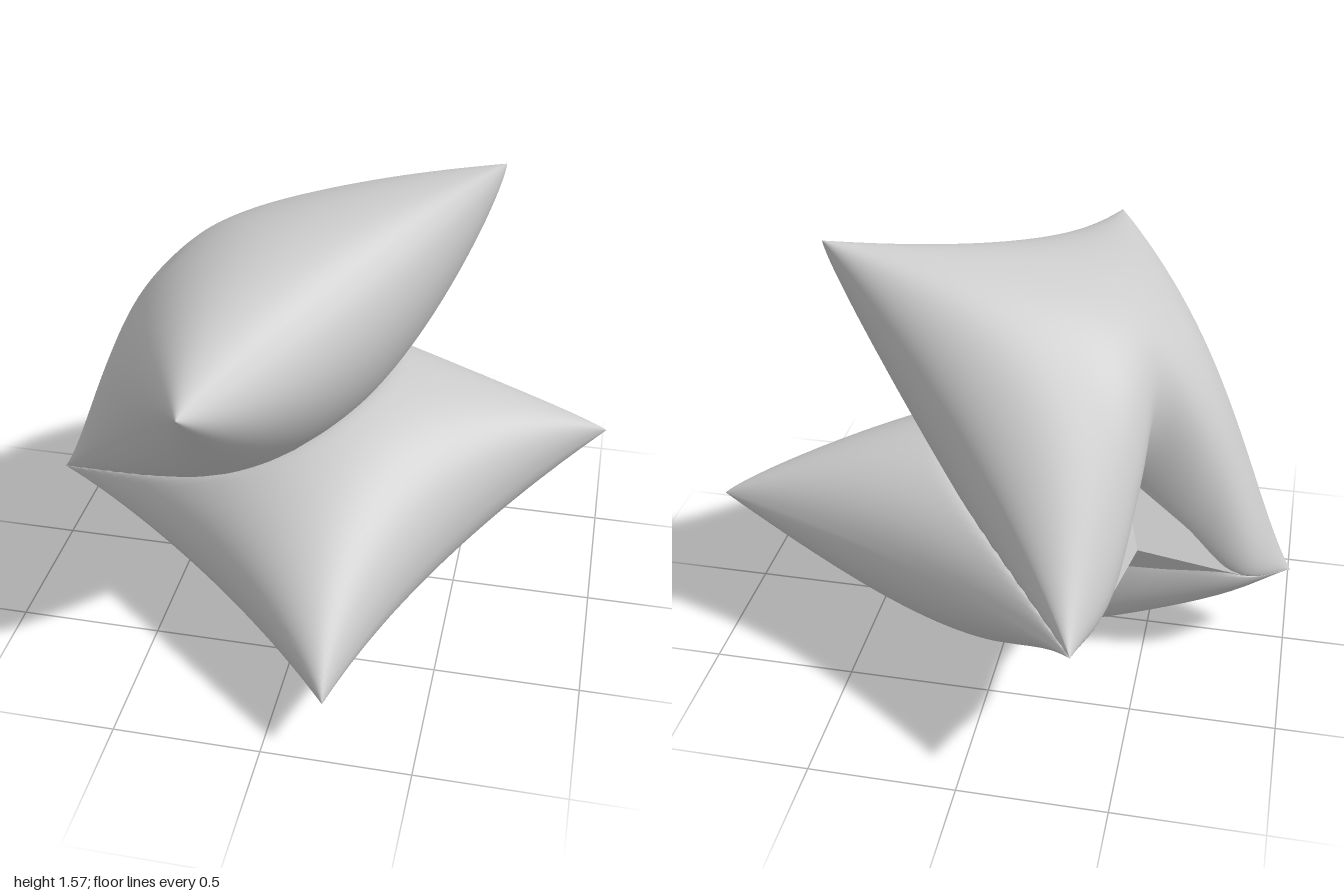
import * as THREE from 'three';
import { mergeVertices } from 'three/addons/utils/BufferGeometryUtils.js';

const V = (x, y, z) => new THREE.Vector3(x, y, z);

// Contact plane between the two cushions: y = 0.733 + 0.423 x
const onPlane = (x, z) => V(x, 0.733 + 0.423 * x, z);
const planeNormal = V(-0.423, 1, 0).normalize();
const planePoint = onPlane(0, 0);
const heightOver = (p) => p.clone().sub(planePoint).dot(planeNormal);
const reflect = (p) => p.clone().addScaledVector(planeNormal, -2 * heightOver(p));

// Corners of the lower cushion; A and D lie on the shared hinge seam
const A = onPlane(-1, 0), B = V(0.2, 0.22, 0.97);
const C = V(1, 0.56, -0.28), D = onPlane(-0.36, -0.97);
const up = C.clone().sub(A).cross(D.clone().sub(B)).normalize();
const across = B.clone().sub(A).normalize();
const along = D.clone().sub(A).normalize();

// Hinge seam: the two cushions part at the lips and draw in to a deep notch
const lipA = onPlane(-0.84, -0.165), lipD = onPlane(-0.42, -0.68);
const notchTip = V(-0.25, 0.4, -0.23);
const seam = new THREE.CatmullRomCurve3([
  A, lipA, lipA.clone().lerp(notchTip, 0.5), notchTip, lipD.clone().lerp(notchTip, 0.5), lipD, D,
]);

// Point on the lower cushion: s runs hinge to open edge, t runs along the hinge
function cushionPoint(s, t, side) {
  const a = (s + 1) / 2, b = (t + 1) / 2;
  const p = A.clone().lerp(B, a).lerp(D.clone().lerp(C, a), b);

  // Seam notch fades out toward the open edge
  const notch = seam.getPointAt(b).sub(A.clone().lerp(D, b));
  p.addScaledVector(notch, (1 - a) ** 2);

  // The three free edges are drawn inward by the filling
  p.addScaledVector(across, -0.12 * (1 - t * t) * a * a);
  p.addScaledVector(along, (1 - s * s) * (0.07 * (1 - b) ** 2 - 0.09 * b * b));

  // Inflation, leaner toward the hinge, with a faint groove from the notch
  const groove = 1 - 0.15 * Math.exp(-((t / 0.3) ** 2)) * (1 - a) ** 3;
  const fill = Math.max(0, (1 - s * s) * (1 - t * t));
  const puff = side > 0 ? 0.41 * fill ** 0.43 : -0.41 * fill ** (0.6 - 0.1 * a);
  p.addScaledVector(up, puff * groove);

  // Flatten against the other cushion and the floor
  const h = heightOver(p);
  if (h > -0.001) p.addScaledVector(planeNormal, -h - 0.001);
  p.y = Math.max(p.y, 0);
  return p;
}

function cushionGeometry(mirrored) {
  const n = 56, positions = [], index = [];
  for (const side of [1, -1]) {
    const base = positions.length / 3;
    for (let j = 0; j <= n; j++) {
      for (let i = 0; i <= n; i++) {
        // Sine spacing keeps the rounded edges fine
        const s = Math.sin((i / n - 0.5) * Math.PI);
        const t = Math.sin((j / n - 0.5) * Math.PI);
        const p = cushionPoint(s, t, side);
        positions.push(...(mirrored ? reflect(p) : p).toArray());
        if (i < n && j < n) {
          const k = base + j * (n + 1) + i, l = k + n + 1;
          if ((side > 0) !== mirrored) index.push(k, k + 1, l + 1, k, l + 1, l);
          else index.push(k, l + 1, k + 1, k, l, l + 1);
        }
      }
    }
  }
  const geometry = new THREE.BufferGeometry();
  geometry.setAttribute('position', new THREE.Float32BufferAttribute(positions, 3));
  geometry.setIndex(index);
  const merged = mergeVertices(geometry, 1e-4);
  merged.computeVertexNormals();
  return merged;
}

// Folded fabric panels closing the gap between the two notches
function foldGeometry() {
  const middle = onPlane(-0.48, -0.3);
  const corners = [];
  for (const tip of [notchTip, reflect(notchTip)]) {
    corners.push(lipA, middle, tip, middle, lipD, tip);
  }
  const geometry = new THREE.BufferGeometry().setFromPoints(corners);
  geometry.computeVertexNormals();
  return geometry;
}

export function createModel() {
  const group = new THREE.Group();
  group.name = 'foldedCushions';
  const material = new THREE.MeshStandardMaterial({ color: 0xcccccc, side: THREE.DoubleSide });
  const add = (name, geometry) => {
    const mesh = new THREE.Mesh(geometry, material);
    mesh.name = name;
    group.add(mesh);
  };
  add('lowerCushion', cushionGeometry(false));
  add('upperCushion', cushionGeometry(true));
  add('hingeFold', foldGeometry());
  return group;
}
